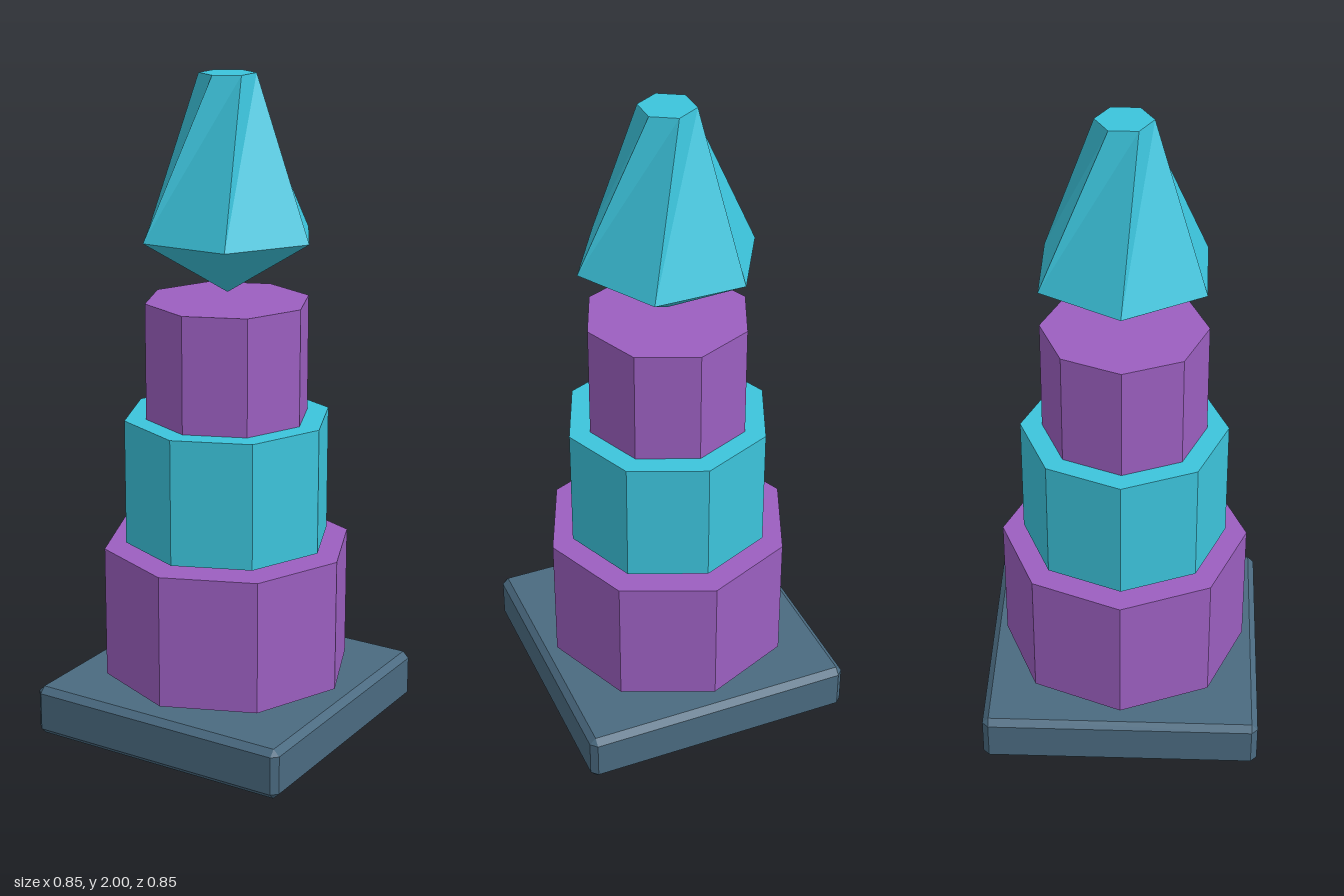
import * as THREE from 'three';
import { ConvexGeometry } from 'three/addons/geometries/ConvexGeometry.js';

const material = (color) => new THREE.MeshStandardMaterial({ color, flatShading: true });

// Box with every edge cut at 45 degrees
function chamferedBox(w, h, d, c) {
  const points = [];
  for (const sx of [-1, 1]) for (const sy of [-1, 1]) for (const sz of [-1, 1]) {
    for (let face = 0; face < 3; face++) {
      const inset = [c, c, c];
      inset[face] = 0;
      points.push(new THREE.Vector3(
        sx * (w / 2 - inset[0]), sy * (h / 2 - inset[1]), sz * (d / 2 - inset[2])));
    }
  }
  return new ConvexGeometry(points);
}

// Six-sided crystal: pointed below, twisted towards a small flat top
function crystalGeometry(bottomY, girdleY, topY, girdleR, topR) {
  const ring = (r, y, deg) => {
    const a = THREE.MathUtils.degToRad(deg);
    return [r * Math.cos(a), y, r * Math.sin(a)];
  };
  const R = (deg) => ring(girdleR, girdleY, deg);
  const T = (deg) => ring(topR, topY, deg);
  const positions = [];
  const tri = (a, b, c) => positions.push(...a, ...b, ...c);
  for (let a = 0; a < 360; a += 60) {
    tri([0, bottomY, 0], R(a - 60), R(a));
    tri(R(a), R(a - 60), T(a - 90));
    tri(R(a), T(a - 90), T(a - 30));
    tri([0, topY, 0], T(a + 30), T(a - 30));
  }
  const g = new THREE.BufferGeometry();
  g.setAttribute('position', new THREE.Float32BufferAttribute(positions, 3));
  g.computeVertexNormals();
  return g;
}

export function createModel() {
  const group = new THREE.Group();
  const slate = material(0x4a6a80);
  const purple = material(0x9b5fc0);
  const cyan = material(0x3cc4dc);

  const add = (name, geometry, mat, y = 0) => {
    const mesh = new THREE.Mesh(geometry, mat);
    mesh.name = name;
    mesh.position.y = y;
    group.add(mesh);
  };

  // Square plinth
  add('base', chamferedBox(0.85, 0.155, 0.85, 0.019), slate, 0.0805);

  // Stacked octagonal tiers: name, radius, bottom, top, material
  const tiers = [
    ['lowerTier', 0.38, 0.18, 0.587, purple],
    ['middleTier', 0.314, 0.602, 0.985, cyan],
    ['upperTier', 0.248, 0.985, 1.337, purple],
  ];
  for (const [name, r, y0, y1, mat] of tiers) {
    add(name, new THREE.CylinderGeometry(r, r, y1 - y0, 8), mat, (y0 + y1) / 2);
  }

  // Crystal floating above the tiers
  add('crystal', crystalGeometry(1.36, 1.53, 2, 0.274, 0.083), cyan);

  return group;
}
